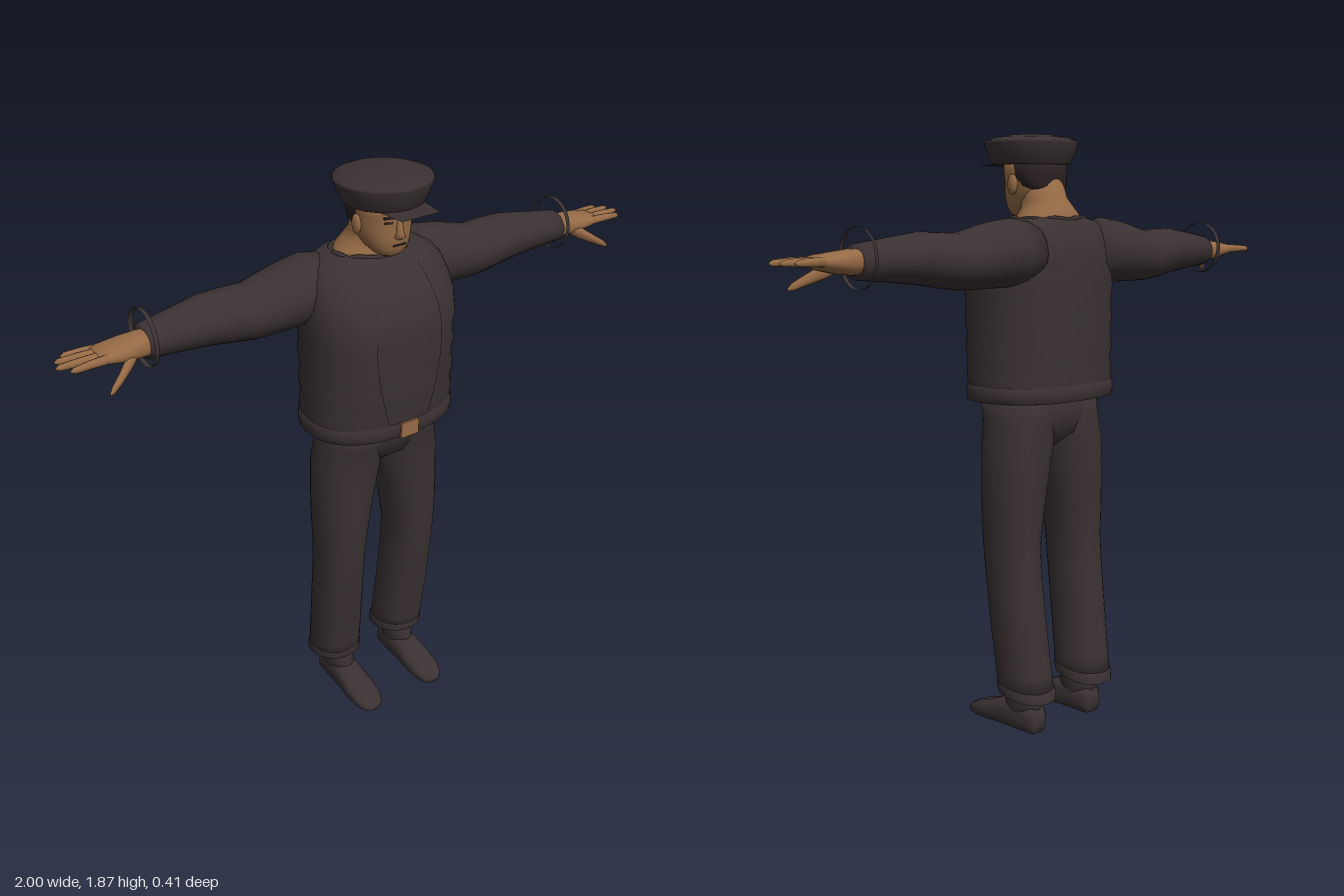
import * as THREE from 'three';

const mat = (name, color, side = THREE.FrontSide) => {
  const m = new THREE.MeshStandardMaterial({ color, side });
  m.name = name;
  return m;
};

// Skin through superelliptic sections. Row: [t, centreU, centreV, radiusU, radiusV, tilt]
// Axis y: t=y u=x v=z; axis x: t=x u=z v=y; axis z: t=z u=y v=x.
function loft(rows, { axis = 'y', n = 2, seg = 28, caps = true } = {}) {
  const pos = [], idx = [];
  const put = (t, u, v) => pos.push(...(axis === 'y' ? [u, t, v] : axis === 'x' ? [t, v, u] : [v, u, t]));
  const pw = (s) => Math.sign(s) * Math.abs(s) ** (2 / n);
  rows.forEach(([t, cu, cv, ru, rv, tilt = 0]) => {
    for (let i = 0; i < seg; i++) {
      const a = (i / seg) * Math.PI * 2, c = pw(Math.cos(a));
      put(t + tilt * c, cu + ru * pw(Math.sin(a)), cv + rv * c);
    }
  });
  for (let r = 0; r < rows.length - 1; r++) {
    for (let i = 0; i < seg; i++) {
      const a = r * seg + i, b = r * seg + ((i + 1) % seg);
      idx.push(a, b, a + seg, b, b + seg, a + seg);
    }
  }
  if (caps) {
    const last = (rows.length - 1) * seg, k = rows.length * seg;
    put(...rows[0]);
    put(...rows[rows.length - 1]);
    for (let i = 0; i < seg; i++) {
      const j = (i + 1) % seg;
      idx.push(k, j, i, k + 1, last + i, last + j);
    }
  }
  const g = new THREE.BufferGeometry();
  g.setAttribute('position', new THREE.Float32BufferAttribute(pos, 3));
  g.setIndex(idx);
  g.computeVertexNormals();
  return g;
}

function mirrored(geo) {
  const g = geo.clone().scale(-1, 1, 1), a = g.index.array;
  for (let i = 0; i < a.length; i += 3) [a[i], a[i + 1]] = [a[i + 1], a[i]];
  return g;
}

export function createModel() {
  const model = new THREE.Group();
  model.name = 'standingMan';
  const cloth = mat('dark cloth', 0x3a3132, THREE.DoubleSide);
  const skin = mat('skin', 0x956a45);
  const hair = mat('hair', 0x2a2121);

  const add = (name, geo, material) => {
    const m = new THREE.Mesh(geo, material);
    m.name = name;
    model.add(m);
    return m;
  };
  const pair = (name, geo, material) => {
    add('left' + name, geo, material);
    add('right' + name, mirrored(geo), material);
  };

  // Jacket body with slight folds at the waist
  const torso = [
    [1.08, 0, -0.022, 0.242, 0.174], [1.14, 0, -0.02, 0.247, 0.178], [1.18, 0, -0.018, 0.24, 0.179],
    [1.22, 0, -0.018, 0.248, 0.182], [1.26, 0, -0.017, 0.239, 0.182], [1.31, 0, -0.016, 0.247, 0.184],
    [1.35, 0, -0.016, 0.241, 0.184], [1.4, 0, -0.016, 0.249, 0.184], [1.46, 0, -0.02, 0.247, 0.178],
    [1.51, 0, -0.03, 0.24, 0.165], [1.56, 0, -0.04, 0.225, 0.142], [1.59, 0, -0.048, 0.2, 0.12],
    [1.607, 0, -0.052, 0.165, 0.104], [1.614, 0, -0.052, 0.122, 0.094],
  ];
  add('jacketBody', loft(torso, { n: 2.4, seg: 48, caps: false }), cloth);

  // Hem band around the jacket bottom
  add('jacketHem', loft([
    [1.06, 0, -0.022, 0.236, 0.17], [1.062, 0, -0.022, 0.248, 0.178], [1.085, 0, -0.022, 0.251, 0.181],
    [1.108, 0, -0.022, 0.248, 0.178], [1.114, 0, -0.022, 0.238, 0.17],
  ], { n: 2.4, seg: 48, caps: false }), cloth);
  const buckle = add('buckle', new THREE.BoxGeometry(0.064, 0.05, 0.009), skin);
  buckle.position.set(0, 1.086, 0.16);

  // Front panel laid on the jacket surface
  const chestZ = (x, y) => {
    let i = 0;
    while (i < torso.length - 2 && torso[i + 1][0] < y) i++;
    const k = (y - torso[i][0]) / (torso[i + 1][0] - torso[i][0]);
    const [cz, rx, rz] = [2, 3, 4].map((j) => THREE.MathUtils.lerp(torso[i][j], torso[i + 1][j], k));
    return cz + rz * (1 - Math.min(1, Math.abs(x) / rx) ** 2.4) ** (1 / 2.4);
  };
  const panel = new THREE.PlaneGeometry(2, 0.49, 16, 24);
  const p = panel.attributes.position;
  for (let i = 0; i < p.count; i++) {
    const y = p.getY(i) + 1.357, s = (y - 1.112) / 0.49;
    const x = p.getX(i) * (0.072 + 0.045 * Math.sin(Math.PI * Math.min(1, s * 0.95)));
    p.setXYZ(i, x, y, chestZ(x, y) + 0.004);
  }
  panel.computeVertexNormals();
  add('frontPanel', panel, cloth);

  // Collar roll around the neck opening
  const collarPoints = Array.from({ length: 24 }, (_, i) => {
    const a = (i / 24) * Math.PI * 2;
    return new THREE.Vector3(0.122 * Math.sin(a), 1.611 + 0.004 * Math.sin(i * 4), -0.052 + 0.096 * Math.cos(a));
  });
  add('collar', new THREE.TubeGeometry(new THREE.CatmullRomCurve3(collarPoints, true), 72, 0.008, 6, true), cloth);

  // Sleeves and loose cuff rings
  pair('Sleeve', loft([
    [0.13, -0.09, 1.51, 0.095, 0.095], [0.2, -0.09, 1.513, 0.104, 0.102], [0.28, -0.085, 1.507, 0.104, 0.097],
    [0.4, -0.082, 1.492, 0.093, 0.082], [0.47, -0.082, 1.498, 0.088, 0.079], [0.54, -0.078, 1.505, 0.08, 0.074],
    [0.65, -0.07, 1.503, 0.066, 0.06], [0.74, -0.063, 1.5, 0.056, 0.05],
  ], { axis: 'x' }), cloth);
  pair('CuffRing', loft([
    [0.728, -0.065, 1.51, 0.08, 0.084], [0.742, -0.067, 1.51, 0.082, 0.086],
  ], { axis: 'x', caps: false }), cloth);

  // Hands
  pair('Palm', loft([
    [0.7, -0.056, 1.5, 0.038, 0.036], [0.76, -0.056, 1.5, 0.044, 0.036], [0.81, -0.054, 1.5, 0.053, 0.03],
    [0.86, -0.052, 1.502, 0.052, 0.021], [0.885, -0.052, 1.503, 0.046, 0.014],
  ], { axis: 'x', n: 2.3 }), skin);
  [[-0.09, -0.102, 0.962], [-0.066, -0.076, 0.99], [-0.04, -0.041, 1.0], [-0.015, -0.004, 0.975]].forEach(([z0, z1, tip], i) => {
    pair('Finger' + (i + 1), loft([
      [0.86, z0, 1.503, 0.012, 0.014], [(0.86 + tip) / 2, (z0 + z1) / 2, 1.504, 0.0115, 0.012],
      [tip - 0.012, z1, 1.503, 0.009, 0.009], [tip, z1, 1.502, 0.003, 0.003],
    ], { axis: 'x', seg: 10 }), skin);
  });
  pair('Thumb', loft([
    [0.775, -0.035, 1.493, 0.018, 0.018], [0.81, -0.01, 1.475, 0.018, 0.021], [0.85, 0.018, 1.452, 0.013, 0.015],
    [0.88, 0.034, 1.435, 0.009, 0.011], [0.892, 0.04, 1.428, 0.003, 0.003],
  ], { axis: 'x', seg: 12 }), skin);

  // Trousers: hips, legs and turned hems
  add('hips', loft([
    [0.91, 0, -0.03, 0.04, 0.05], [0.95, 0, -0.028, 0.14, 0.1], [1.0, 0, -0.024, 0.198, 0.117],
    [1.09, 0, -0.01, 0.19, 0.137],
  ], { n: 2.3 }), cloth);
  pair('TrouserLeg', loft([
    [0.135, 0.13, -0.09, 0.08, 0.094, 0.015], [0.2, 0.132, -0.08, 0.08, 0.092], [0.35, 0.136, -0.06, 0.079, 0.093],
    [0.5, 0.138, -0.042, 0.077, 0.095], [0.6, 0.138, -0.033, 0.078, 0.097], [0.7, 0.133, -0.032, 0.087, 0.102],
    [0.8, 0.124, -0.032, 0.096, 0.107], [0.92, 0.11, -0.03, 0.107, 0.112], [1.0, 0.1, -0.025, 0.1, 0.117],
    [1.08, 0.095, -0.012, 0.094, 0.13],
  ], { n: 2.2 }), cloth);
  pair('TrouserHem', loft([
    [0.13, 0.13, -0.091, 0.083, 0.096, 0.015], [0.15, 0.13, -0.089, 0.085, 0.097, 0.015],
    [0.163, 0.13, -0.086, 0.08, 0.093, 0.012],
  ], { n: 2.2, caps: false }), cloth);

  // Shoes
  pair('Shoe', loft([
    [-0.147, 0.04, 0.126, 0.03, 0.025], [-0.13, 0.046, 0.126, 0.045, 0.042], [-0.06, 0.05, 0.126, 0.05, 0.047],
    [0, 0.046, 0.126, 0.046, 0.049], [0.06, 0.034, 0.126, 0.034, 0.053], [0.11, 0.026, 0.126, 0.026, 0.05],
    [0.145, 0.019, 0.126, 0.018, 0.036], [0.156, 0.015, 0.126, 0.009, 0.018],
  ], { axis: 'z', n: 2.6 }), cloth);
  pair('ShoeAnkle', loft([
    [0.05, 0.126, -0.07, 0.045, 0.07], [0.1, 0.126, -0.07, 0.044, 0.068], [0.16, 0.126, -0.07, 0.045, 0.062],
  ]), cloth);

  // Neck sloping into the shoulders
  add('neck', loft([
    [1.595, 0, -0.053, 0.122, 0.093], [1.622, 0, -0.055, 0.108, 0.086], [1.645, 0, -0.052, 0.083, 0.08],
    [1.675, 0, -0.035, 0.07, 0.074], [1.74, 0, -0.015, 0.065, 0.072],
  ]), skin);

  // Head and face
  add('head', loft([
    [1.618, 0, 0.055, 0.025, 0.02], [1.628, 0, 0.046, 0.045, 0.043], [1.65, 0, 0.03, 0.064, 0.068],
    [1.675, 0, 0.018, 0.075, 0.083], [1.7, 0, 0.01, 0.081, 0.092], [1.73, 0, 0.008, 0.083, 0.093],
    [1.75, 0, 0.008, 0.084, 0.098], [1.79, 0, 0.008, 0.084, 0.094],
  ], { n: 2.2 }), skin);
  add('nose', loft([
    [1.678, 0, 0.096, 0.012, 0.012], [1.686, 0, 0.1, 0.017, 0.022], [1.7, 0, 0.099, 0.012, 0.018],
    [1.742, 0, 0.097, 0.008, 0.009],
  ], { seg: 12 }), skin);
  pair('Ear', new THREE.SphereGeometry(1, 12, 8).scale(0.011, 0.031, 0.019).translate(0.088, 1.715, 0.012), skin);
  pair('Eyebrow', new THREE.BoxGeometry(0.034, 0.006, 0.006).rotateY(0.3).translate(0.034, 1.747, 0.1), hair);
  pair('Eye', new THREE.BoxGeometry(0.024, 0.006, 0.006).rotateY(0.3).translate(0.033, 1.73, 0.094), hair);
  add('mouth', new THREE.BoxGeometry(0.042, 0.004, 0.006), hair).position.set(0, 1.66, 0.1);
  add('hair', loft([
    [1.695, 0, -0.04, 0.06, 0.046], [1.71, 0, -0.03, 0.079, 0.06], [1.74, 0, -0.02, 0.087, 0.07],
    [1.785, 0, -0.015, 0.089, 0.075],
  ], { n: 2.3 }), hair);

  // Flat cap and its thin peak
  const capProfile = [[0, 1.778], [0.115, 1.774], [0.123, 1.778], [0.136, 1.81], [0.146, 1.838], [0.144, 1.846],
    [0.12, 1.855], [0.07, 1.864], [0, 1.868]];
  const cap = add('cap', new THREE.LatheGeometry(capProfile.map(([x, y]) => new THREE.Vector2(x, y)), 36), cloth);
  cap.position.z = 0.02;
  const peak = new THREE.Shape([[-0.08, -0.09], [0.08, -0.09], [0.066, -0.203], [-0.066, -0.203]].map(([x, y]) => new THREE.Vector2(x, y)));
  add('capPeak', new THREE.ShapeGeometry(peak).rotateX(-Math.PI / 2), cloth).position.y = 1.776;

  return model;
}
